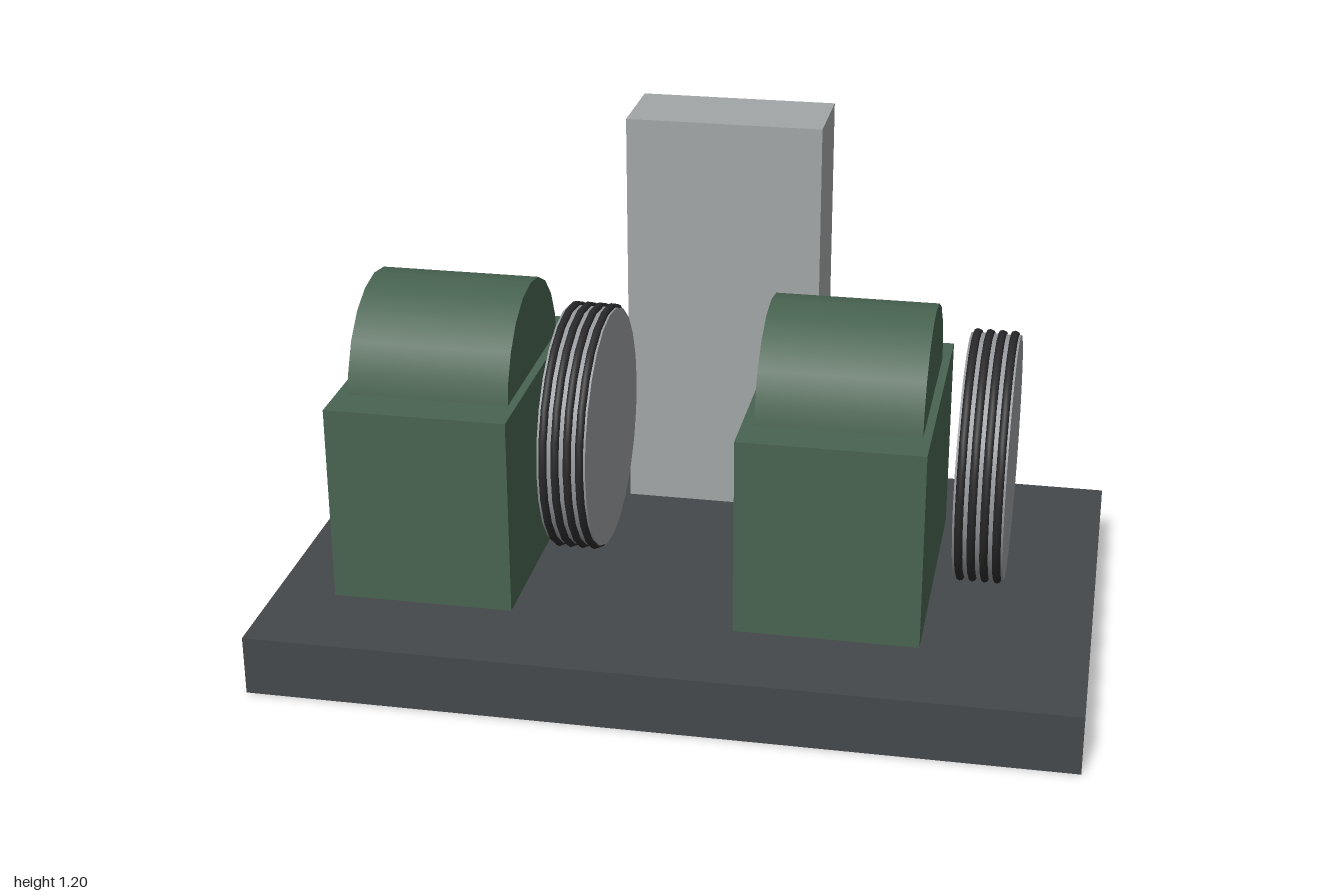
import * as THREE from 'three';

const mat = (color) => new THREE.MeshStandardMaterial({ color });

export function createModel() {
  const model = new THREE.Group();
  model.name = 'twinMotorMachine';

  const dark = mat(0x45484b);
  const green = mat(0x486350);
  const steel = mat(0x96999d);
  const rope = mat(0x2a2a2c);
  const grey = mat(0xa2a6a6);
  const black = mat(0x2a2c2e);
  const lamp = mat(0x33bb55);

  const add = (parent, name, geometry, material, x, y, z) => {
    const mesh = new THREE.Mesh(geometry, material);
    mesh.name = name;
    mesh.position.set(x, y, z);
    parent.add(mesh);
    return mesh;
  };

  // Base slab
  add(model, 'base', new THREE.BoxGeometry(2, 0.15, 1.2), dark, 0, 0.075, 0);

  // Two identical motors, each with a grooved drive wheel on its +x side
  const housing = new THREE.BoxGeometry(0.45, 0.5, 0.7);
  const drum = new THREE.CylinderGeometry(0.25, 0.25, 0.4, 20).rotateZ(Math.PI / 2);
  const wheel = new THREE.CylinderGeometry(0.3, 0.3, 0.12, 24).rotateZ(Math.PI / 2);
  const ring = new THREE.TorusGeometry(0.3, 0.01, 8, 24).rotateY(Math.PI / 2);
  for (const x of [-0.5, 0.5]) {
    const motor = new THREE.Group();
    motor.name = x < 0 ? 'rightMotor' : 'leftMotor';
    motor.position.x = x;
    add(motor, 'housing', housing, green, -0.125, 0.4, 0);
    add(motor, 'drum', drum, green, -0.12, 0.625, 0);
    add(motor, 'driveWheel', wheel, steel, 0.22, 0.505, 0);
    for (let i = 0; i < 4; i++) {
      add(motor, 'wheelRing', ring, rope, 0.175 + i * 0.03, 0.505, 0);
    }
    model.add(motor);
  }

  // Control cabinet at the back, with a display and indicator lamp
  add(model, 'cabinet', new THREE.BoxGeometry(0.5, 1.05, 0.232), grey, 0, 0.675, -0.463);
  add(model, 'displayPanel', new THREE.BoxGeometry(0.3, 0.2, 0.02), black, 0, 0.956, -0.578);
  add(model, 'indicatorLamp', new THREE.SphereGeometry(0.01, 12, 8), lamp, -0.075, 0.967, -0.585);

  return model;
}
